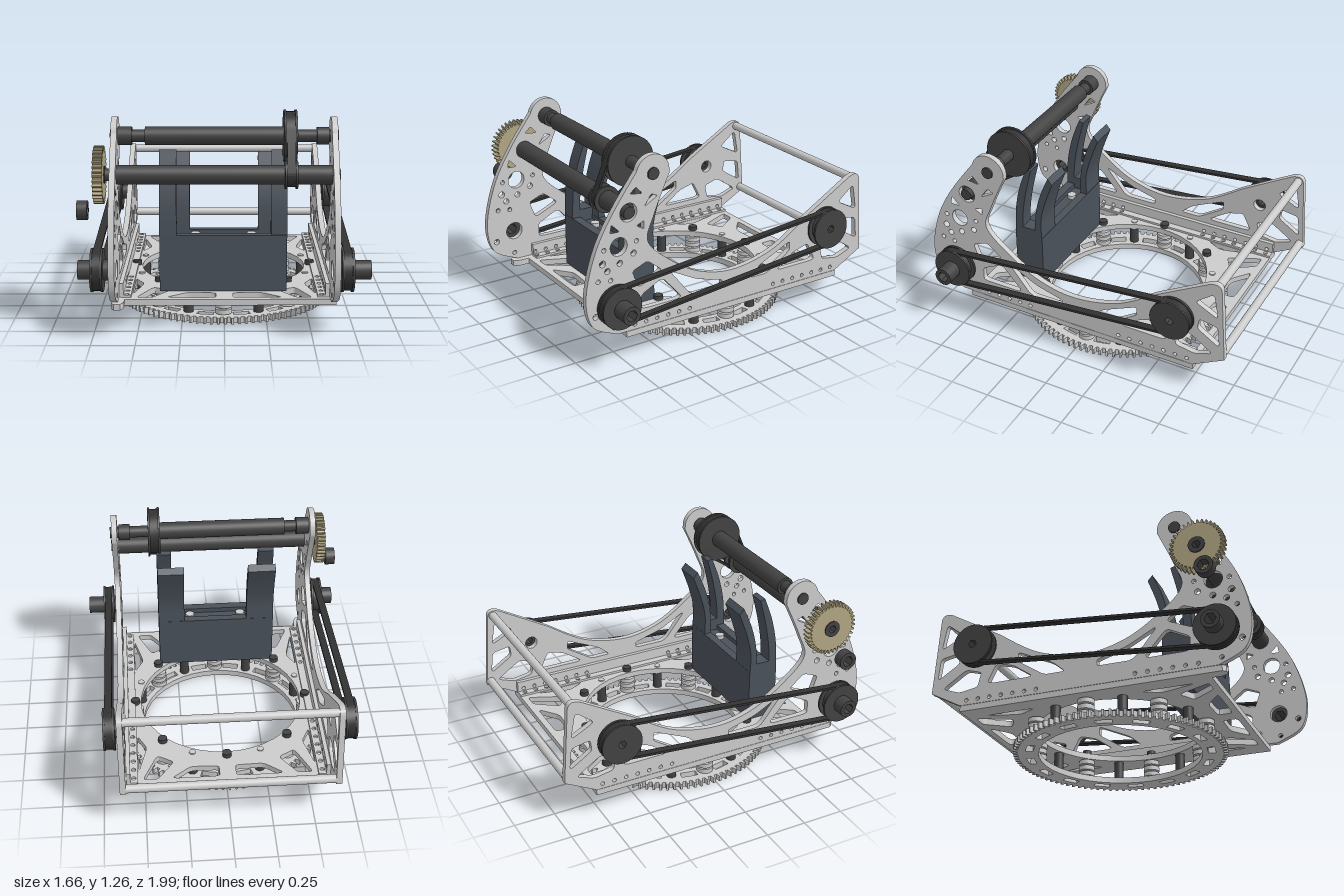
import * as THREE from 'three';
import { toCreasedNormals } from 'three/addons/utils/BufferGeometryUtils.js';

const mat = (color) => new THREE.MeshStandardMaterial({ color });
const grey = mat(0xcccccc), dark = mat(0x424242), black = mat(0x323232), slate = mat(0x4a515a), brass = mat(0xb0a582);

export function createModel() {
  const root = new THREE.Group();
  const add = (name, geo, material, parent = root) => {
    const mesh = new THREE.Mesh(geo, material);
    mesh.name = name;
    parent.add(mesh);
    return mesh;
  };
  // Extrude a (z, y) shape along x, or an (x, z) shape along y
  const extrude = (shape, depth) =>
    new THREE.ExtrudeGeometry(shape, { depth, bevelEnabled: false, curveSegments: 20 });
  const alongX = (shape, x0, x1) =>
    toCreasedNormals(extrude(shape, x1 - x0).rotateY(-Math.PI / 2).translate(x1, 0, 0), 0.5);
  const alongY = (shape, y0, y1) =>
    toCreasedNormals(extrude(shape, y1 - y0).rotateX(Math.PI / 2).translate(0, y1, 0), 0.5);

  const circle = (a, b, r, Type = THREE.Path) => new Type().absarc(a, b, r, 0, Math.PI * 2);
  const poly = (pts, Type = THREE.Shape) => new Type(pts.map((p) => new THREE.Vector2(...p)));
  const hexagon = (a, b, r) => poly([0, 1, 2, 3, 4, 5].map((i) =>
    [a + r * Math.cos(i * Math.PI / 3), b + r * Math.sin(i * Math.PI / 3)]), THREE.Path);
  // Window with rounded corners
  const windowPath = (pts, t = 0.18) => {
    const v = pts.map((p) => new THREE.Vector2(...p)), n = v.length, path = new THREE.Path();
    v.forEach((p, i) => {
      const a = p.clone().lerp(v[(i + n - 1) % n], t), b = p.clone().lerp(v[(i + 1) % n], t);
      if (i) path.lineTo(a.x, a.y); else path.moveTo(a.x, a.y);
      path.quadraticCurveTo(p.x, p.y, b.x, b.y);
    });
    path.closePath();
    return path;
  };
  const rod = (name, x0, x1, r, [z, y], material, parent) =>
    add(name, new THREE.CylinderGeometry(r, r, x1 - x0, 32).rotateZ(Math.PI / 2)
      .translate((x0 + x1) / 2, y, z), material, parent);
  const hexTube = (name, x0, x1, r, [z, y], bore, material, parent) => {
    const s = circle(z, y, r, THREE.Shape);
    s.holes.push(hexagon(z, y, bore));
    return add(name, alongX(s, x0, x1), material, parent);
  };
  const post = (name, x, z, y0, y1, r, material, parent) =>
    add(name, new THREE.CylinderGeometry(r, r, y1 - y0, 20).translate(x, (y0 + y1) / 2, z), material, parent);
  const gear = (a, b, r, inner, teeth) => {
    const pts = [];
    for (let i = 0; i < teeth; i++)
      [[0, inner], [0.45, inner], [0.58, r], [0.87, r]].forEach(([f, q]) => {
        const t = (i + f) / teeth * Math.PI * 2;
        pts.push([a + q * Math.cos(t), b + q * Math.sin(t)]);
      });
    return poly(pts);
  };
  // Loop wrapped around two wheels
  const hull = (c1, r1, c2, r2, Type) => {
    const dx = c2[0] - c1[0], dy = c2[1] - c1[1], phi = Math.atan2(dy, dx);
    const beta = Math.acos((r1 - r2) / Math.hypot(dx, dy));
    return new Type().absarc(...c1, r1, phi + beta, phi - beta + Math.PI * 2)
      .absarc(...c2, r2, phi - beta, phi + beta);
  };
  const belt = (name, c1, r1, c2, r2, x0, x1, parent) => {
    const s = hull(c1, r1, c2, r2, THREE.Shape);
    s.holes.push(hull(c1, r1 - 0.015, c2, r2 - 0.015, THREE.Path));
    add(name, alongX(s, x0, x1), black, parent);
  };
  const pulley = (name, x0, x1, r, c, bore, parent) => {
    hexTube(name + 'Core', x0 + 0.012, x1 - 0.012, r - 0.025, c, bore, dark, parent);
    hexTube(name + 'InnerFlange', x0, x0 + 0.013, r, c, bore, dark, parent);
    hexTube(name + 'OuterFlange', x1 - 0.013, x1, r, c, bore, dark, parent);
  };

  const TOP = [0.56, 1.117], LOW = [0.72, 0.92], FRONT = [0.815, 0.39], BACK = [-0.67, 0.53], PORT = [0.785, 0.73];
  const railHoles = [];
  for (let i = 0; i < 6; i++) railHoles.push(0.685 - 0.075 * i);
  for (let i = 0; i < 7; i++) railHoles.push(-0.3 - 0.075 * i);

  // Side plate outline and lightening windows
  const side = new THREE.Shape();
  side.moveTo(0.8, 0.195).lineTo(-0.79, 0.195).lineTo(-0.985, 0.3).lineTo(-0.95, 0.78);
  side.quadraticCurveTo(-0.94, 0.835, -0.87, 0.805).lineTo(-0.55, 0.62);
  const v2 = (pts) => pts.map((p) => new THREE.Vector2(...p));
  side.splineThru(v2([[-0.29, 0.46], [0, 0.4], [0.25, 0.45], [0.46, 0.58], [0.595, 0.72], [0.555, 0.87], [0.452, 1.1]]));
  side.absarc(0.56, 1.12, 0.108, Math.PI, 0.25, true);
  side.splineThru(v2([[0.81, 0.95], [0.92, 0.76], [0.985, 0.56], [0.998, 0.4], [0.95, 0.27], [0.8, 0.195]]));
  [
    [[0.7, 0.56], [0.6, 0.6], [0.5, 0.52], [0.66, 0.45]],
    [[0.64, 0.4], [0.5, 0.47], [0.36, 0.31], [0.64, 0.31]],
    [[0.45, 0.5], [0.26, 0.4], [0.08, 0.35], [0.08, 0.31], [0.3, 0.31]],
    [[-0.2, 0.38], [-0.42, 0.48], [-0.42, 0.42], [-0.25, 0.31], [-0.12, 0.31]],
    [[-0.32, 0.31], [-0.45, 0.4], [-0.56, 0.43], [-0.62, 0.31]],
    [[-0.79, 0.655], [-0.905, 0.745], [-0.935, 0.58]],
    [[-0.82, 0.54], [-0.935, 0.52], [-0.95, 0.38], [-0.81, 0.47]],
    [[-0.76, 0.42], [-0.91, 0.32], [-0.8, 0.28], [-0.68, 0.3], [-0.66, 0.39]],
    [[0.67, 1.06], [0.71, 1.025], [0.63, 1.015]],
    [[0.57, 1.0], [0.53, 0.98], [0.62, 0.93]],
    [[0.83, 0.87], [0.84, 0.82], [0.78, 0.82]],
    [[0.62, 0.85], [0.62, 0.8], [0.67, 0.83]],
  ].forEach((w) => side.holes.push(windowPath(w)));
  [[...TOP, 0.035], [...LOW, 0.055], [...PORT, 0.055], [...FRONT, 0.055], [...BACK, 0.04],
    [0.89, 0.65, 0.02], [0.86, 0.6, 0.018], [0.78, 0.63, 0.018], [0.69, 0.67, 0.018], [0.88, 0.73, 0.014],
    [0.67, 0.74, 0.014], [0.92, 0.55, 0.014], [0.84, 0.54, 0.014], [0.94, 0.34, 0.018], [0.82, 0.24, 0.014],
    [0.68, 0.34, 0]].forEach(([z, y, r]) => r && side.holes.push(circle(z, y, r)));
  railHoles.forEach((z) => side.holes.push(circle(z, 0.225, 0.012)));

  // Angle rail: upright and flange, both perforated
  const upright = poly([[-0.79, 0.195], [0.7, 0.195], [0.7, 0.275], [-0.79, 0.275]]);
  railHoles.forEach((z) => upright.holes.push(circle(z, 0.225, 0.012)));

  for (const s of [1, -1]) {
    const g = new THREE.Group();
    g.name = s > 0 ? 'leftSide' : 'rightSide';
    root.add(g);
    const span = (a, b) => (s > 0 ? [a, b] : [-b, -a]);
    add('sidePlate', alongX(side, ...span(0.61, 0.645)), grey, g);
    add('railUpright', alongX(upright, ...span(0.585, 0.609)), grey, g);
    const flange = poly([[s * 0.54, -0.79], [s * 0.6, -0.79], [s * 0.6, 0.7], [s * 0.54, 0.7]]);
    railHoles.forEach((z) => flange.holes.push(circle(s * 0.565, z, 0.014)));
    add('railFlange', alongY(flange, 0.192, 0.207), grey, g);
    // Drive belt with its two pulleys
    const o = s > 0 ? 0 : 0.025;
    pulley('frontPulley', ...span(0.66 + o, 0.73 + o), 0.125, FRONT, 0.035, g);
    hexTube('frontHub', ...span(0.73 + o, 0.83), 0.055, FRONT, 0.035, dark, g);
    hexTube('frontSpacer', ...span(0.645, 0.66 + o), 0.06, FRONT, 0.035, dark, g);
    pulley('backPulley', ...span(0.66 + o, 0.73 + o), 0.125, BACK, 0.025, g);
    hexTube('backSpacer', ...span(0.645, 0.66 + o), 0.05, BACK, 0.025, dark, g);
    belt('driveBelt', FRONT, 0.118, BACK, 0.118, ...span(0.673 + o, 0.717 + o), g);
  }

  // Rear cross bars
  rod('upperCrossBar', -0.612, 0.612, 0.026, [-0.915, 0.782], grey);
  rod('lowerCrossBar', -0.612, 0.612, 0.026, [-0.96, 0.322], grey);

  // Two front rollers and their stepped shafts
  rod('upperRoller', -0.455, 0.35, 0.053, TOP, dark);
  rod('upperShaft', -0.655, 0.655, 0.036, TOP, dark);
  rod('upperRightCollar', -0.61, -0.53, 0.053, TOP, dark);
  rod('upperLeftCollar', 0.53, 0.6, 0.05, TOP, dark);
  rod('lowerRoller', -0.645, 0.61, 0.055, LOW, dark);
  rod('lowerShaft', -0.68, 0.655, 0.036, LOW, dark);
  pulley('upperRollerPulley', 0.34, 0.415, 0.15, TOP, 0.03);
  pulley('lowerRollerPulley', 0.34, 0.415, 0.08, LOW, 0.03);
  belt('rollerBelt', TOP, 0.14, LOW, 0.07, 0.353, 0.402);

  // Spur gear and loose hub on the right side
  const spur = gear(...LOW, 0.165, 0.142, 36);
  spur.holes.push(circle(...LOW, 0.03));
  add('spurGear', alongX(spur, -0.735, -0.68), brass);
  hexTube('spurGearHub', -0.742, -0.675, 0.05, LOW, 0.025, dark);
  hexTube('outerHub', -0.83, -0.77, 0.056, PORT, 0.035, dark);

  // Base plate with a large opening and truss windows
  const cx = -0.005, cz = -0.025;
  const base = poly([[-0.645, -0.79], [0.645, -0.79], [0.645, 0.74], [-0.575, 0.74], [-0.575, 0.8],
    [-0.595, 0.84], [-0.63, 0.84], [-0.645, 0.82]]);
  base.holes.push(circle(cx, cz, 0.51));
  for (const sx of [1, -1]) for (const sz of [1, -1])
    [[[0.05, 0.725], [0.34, 0.725], [0.22, 0.63], [0.05, 0.635]],
      [[0.42, 0.725], [0.51, 0.725], [0.42, 0.52], [0.32, 0.58]],
      [[0.535, 0.66], [0.535, 0.33], [0.48, 0.44]]]
      .forEach((w) => base.holes.push(windowPath(w.map(([x, z]) => [sx * x, cz + sz * z]))));
  add('basePlate', alongY(base, 0.157, 0.193), grey);

  // Ring gear with arc slots
  const ring = gear(cx, cz, 0.65, 0.622, 96);
  ring.holes.push(circle(cx, cz, 0.495));
  for (let i = 0; i < 16; i++) {
    const a = (i + 0.5) * Math.PI / 8;
    ring.holes.push(new THREE.Path().absarc(cx, cz, 0.575, a - 0.09, a + 0.09).absarc(cx, cz, 0.53, a + 0.09, a - 0.09, true));
  }
  add('ringGear', alongY(ring, 0.003, 0.04), grey);

  // Alternating roller stacks and posts between ring and base
  for (let i = 0; i < 16; i++) {
    const a = i * Math.PI / 8, x = cx + 0.545 * Math.cos(a), z = cz + 0.545 * Math.sin(a);
    const g = new THREE.Group();
    g.name = i % 2 ? 'supportPost' : 'rollerStack';
    root.add(g);
    if (i % 2) {
      post('post', x, z, 0.038, 0.158, 0.03, dark, g);
      post('postScrew', x, z, 0.19, 0.2, 0.02, grey, g);
    } else {
      post('axle', x, z, 0.03, 0.158, 0.03, grey, g);
      for (const y of [0.045, 0.083, 0.121]) post('disc', x, z, y, y + 0.028, 0.05, grey, g);
      post('boltHead', x, z, 0.19, 0.22, 0.028, dark, g);
    }
  }

  // Feed block with two pairs of curved guide horns
  const guide = new THREE.Group();
  guide.name = 'feedGuide';
  root.add(guide);
  add('guideBody', alongX(poly([[0.57, 0.193], [0.57, 0.53], [0.515, 0.53], [0.515, 0.5], [0.43, 0.5],
    [0.43, 0.53], [0.38, 0.53], [0.38, 0.193]]), -0.38, 0.367), slate, guide);
  const horn = (front, back) => {
    const s = new THREE.Shape();
    s.moveTo(...front[0]).splineThru(v2(front.slice(1)));
    s.lineTo(...back[0]).splineThru(v2(back.slice(1)));
    return s;
  };
  const frontHorn = horn([[0.57, 0.5], [0.56, 0.7], [0.525, 0.87], [0.47, 1.02]],
    [[0.44, 1.01], [0.485, 0.83], [0.512, 0.66], [0.515, 0.5]]);
  const backHorn = horn([[0.43, 0.5], [0.42, 0.69], [0.385, 0.84], [0.325, 0.985]],
    [[0.295, 0.95], [0.35, 0.8], [0.383, 0.66], [0.38, 0.5]]);
  for (const [a, b, c, d] of [[0.275, 0.367, 0.2, 0.367], [-0.38, -0.28, -0.38, -0.205]]) {
    add('frontHorn', alongX(frontHorn, a, b), slate, guide);
    add('backHorn', alongX(backHorn, c, d), slate, guide);
    add('hornRoot', new THREE.BoxGeometry(b - a, 0.12, 0.18).translate((a + b) / 2, 0.52, 0.475), slate, guide);
  }
  for (const x of [-0.17, 0.16]) post('guideBolt', x, 0.472, 0.5, 0.525, 0.028, grey, guide);

  return root;
}
